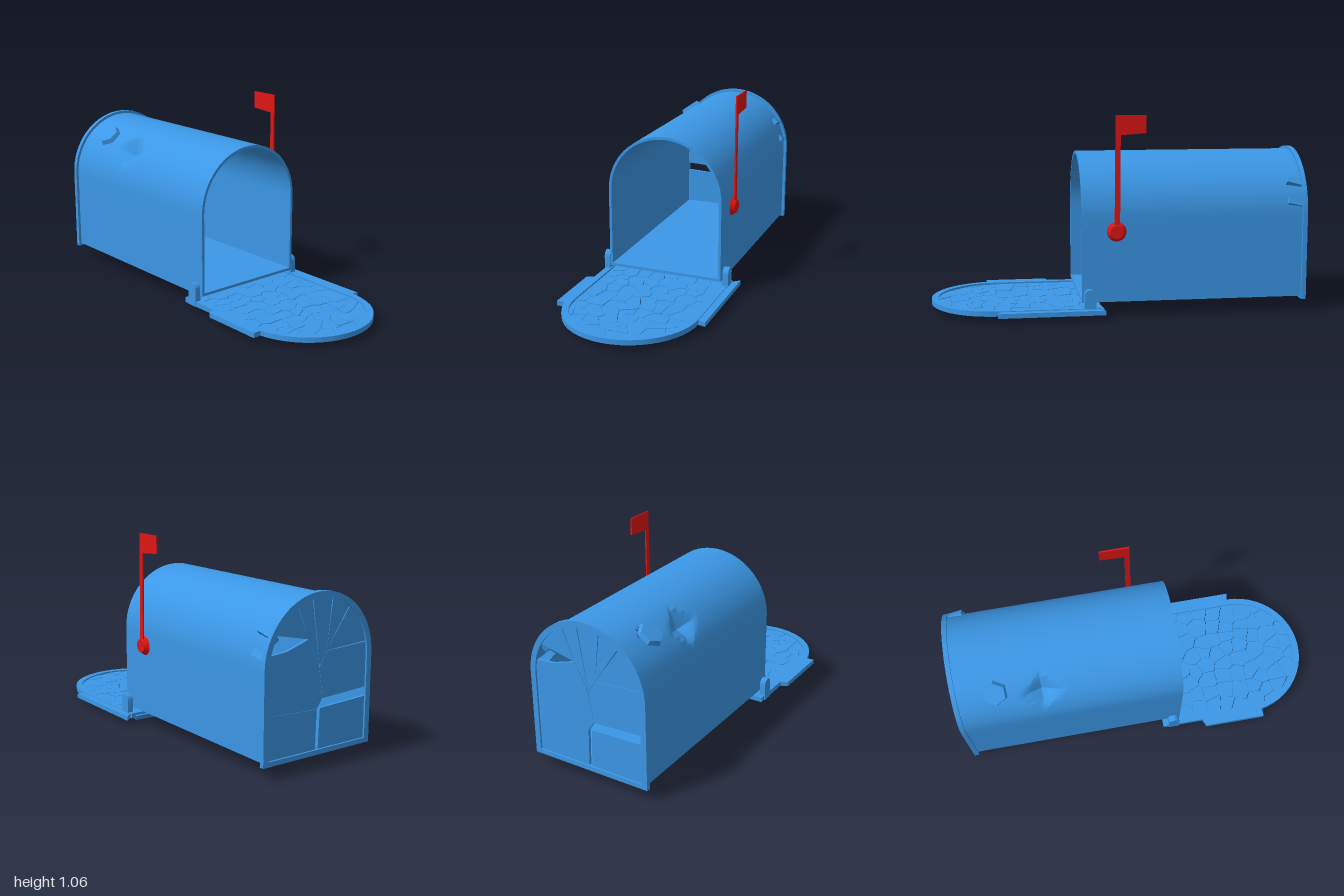
import * as THREE from 'three';
import { toCreasedNormals } from 'three/addons/utils/BufferGeometryUtils.js';
import { ConvexGeometry } from 'three/addons/geometries/ConvexGeometry.js';

const blue = new THREE.MeshStandardMaterial({ color: 0x3b97e6, side: THREE.DoubleSide });
const red = new THREE.MeshStandardMaterial({ color: 0xdd1515, side: THREE.DoubleSide });
const CY = 0.525; // height where the walls turn into the arch

const vec = (pts) => pts.map(([a, b]) => new THREE.Vector2(a, b));

// Arch outline in (z, y): straight walls with a semicircle on top
function archPoints(r, bottom, seg = 32) {
  const pts = [];
  for (let i = 0; i < 6; i++) pts.push([r, bottom + (CY - bottom) * i / 6]);
  for (let i = 0; i <= seg; i++) {
    const a = Math.PI * i / seg;
    pts.push([r * Math.cos(a), CY + r * Math.sin(a)]);
  }
  for (let i = 5; i >= 0; i--) pts.push([-r, bottom + (CY - bottom) * i / 6]);
  return pts;
}

function extrude(pts, hole, depth, steps = 1) {
  const shape = new THREE.Shape(vec(pts));
  if (hole) shape.holes.push(new THREE.Path(vec(hole)));
  return new THREE.ExtrudeGeometry(shape, { depth, steps, bevelEnabled: false });
}

// Outline in (z, y) running back from x = front
const upright = (pts, hole, front, depth, steps) =>
  extrude(pts, hole, depth, steps).rotateY(-Math.PI / 2).translate(front, 0, 0);

// Outline in (x, z) running down from y = top
const flat = (pts, hole, top, depth) =>
  extrude(pts, hole, depth).rotateX(Math.PI / 2).translate(0, top, 0);

// Keep the part of a convex polygon that is nearer to p than to q
function clipNearer(poly, p, q, gap) {
  const dx = q[0] - p[0], dy = q[1] - p[1], len = Math.hypot(dx, dy);
  const side = ([x, y]) =>
    ((x - (p[0] + q[0]) / 2) * dx + (y - (p[1] + q[1]) / 2) * dy) / len + gap;
  const out = [];
  poly.forEach((a, i) => {
    const b = poly[(i + 1) % poly.length], sa = side(a), sb = side(b);
    if (sa <= 0) out.push(a);
    if (sa * sb < 0) {
      const t = sa / (sa - sb);
      out.push([a[0] + (b[0] - a[0]) * t, a[1] + (b[1] - a[1]) * t]);
    }
  });
  return out;
}

export function createModel() {
  const model = new THREE.Group();
  const add = (name, geo, mat = blue, parent = model) => {
    const mesh = new THREE.Mesh(toCreasedNormals(geo, 0.5), mat);
    mesh.name = name;
    parent.add(mesh);
    return mesh;
  };
  const group = (name) => {
    const g = new THREE.Group();
    g.name = name;
    model.add(g);
    return g;
  };
  let seed = 7;
  const rand = () => (seed = (seed * 16807) % 2147483647) / 2147483647;

  // Arched body with floor, dented near the top
  let shell = upright(archPoints(0.325, 0.08), archPoints(0.31, 0.095), 0.21, 1.19, 48);
  if (shell.index) shell = shell.toNonIndexed();
  const pos = shell.attributes.position;
  for (let i = 0; i < pos.count; i++) {
    const x = pos.getX(i), y = pos.getY(i), z = pos.getZ(i);
    const a = Math.atan2(y - CY, z);
    const push = 0.06 * Math.max(0, 1 - Math.abs(x + 0.53) / 0.12 - Math.abs(a - 0.7) / 0.35);
    pos.setY(i, y - push * Math.sin(a));
    pos.setZ(i, z - push * Math.cos(a));
  }
  // Hole left by the loose shard
  const kept = [];
  for (let i = 0; i < pos.count; i += 3) {
    let x = 0, y = 0, z = 0;
    for (let k = i; k < i + 3; k++) {
      x += pos.getX(k) / 3; y += pos.getY(k) / 3; z += pos.getZ(k) / 3;
    }
    if (y > 0.6 && Math.hypot((x + 0.78) / 0.06, (z - 0.2) / 0.04) < 1) continue;
    for (let k = i; k < i + 3; k++) kept.push(pos.getX(k), pos.getY(k), pos.getZ(k));
  }
  const body = new THREE.BufferGeometry();
  body.setAttribute('position', new THREE.Float32BufferAttribute(kept, 3));
  body.computeVertexNormals();
  add('body', body);

  const shard = add('looseShard', new THREE.CylinderGeometry(0.06, 0.07, 0.025, 6));
  shard.position.set(-0.775, 0.775, 0.225);
  shard.rotation.x = 0.63;

  // Back rim and its broken panel
  add('backRim', upright(archPoints(0.34, 0.065), archPoints(0.31, 0.09), -0.975, 0.025));
  const back = group('backPanel');
  const arcPiece = (a0, a1, inner) => {
    const pts = [];
    for (let i = 0; i <= 6; i++) {
      const a = THREE.MathUtils.degToRad(a0 + (a1 - a0) * i / 6);
      pts.push([0.325 * Math.cos(a), CY + 0.325 * Math.sin(a)]);
    }
    return pts.concat(inner);
  };
  [
    [[0.325, 0.08], [0.325, 0.305], [0.015, 0.293], [0.007, 0.08]],
    [[-0.01, 0.08], [-0.005, 0.29], [-0.325, 0.305], [-0.325, 0.08]],
    [[0.325, 0.353], [0.325, 0.583], [0.05, 0.57], [0.005, 0.5], [0.03, 0.34]],
    [[-0.005, 0.291], [0.029, 0.34], [0.003, 0.5], [-0.07, 0.64], [-0.2, 0.6],
      [-0.325, 0.59], [-0.325, 0.306]],
    arcPiece(11, 52, [[0.05, 0.572]]),
    arcPiece(53, 75, [[0.05, 0.573]]),
    arcPiece(76, 98, [[0.005, 0.503], [0.05, 0.572]]),
    arcPiece(99, 115, [[-0.069, 0.641], [0.004, 0.504]]),
    arcPiece(116, 150, [[-0.07, 0.642]]),
  ].forEach((pts) => add('backPiece', upright(pts, null, -0.975, 0.015), blue, back));
  // Chips pushed out beside the gap in the panel
  [[0.58, -0.3], [0.68, -0.27]].forEach(([y, z], i) => {
    const chip = add('backChip', new THREE.BoxGeometry(0.09, 0.035, 0.06), blue, back);
    chip.position.set(-0.935, y, z);
    chip.rotation.set(0.5 + i * 0.3, 0.2, 0.15);
  });

  // Lowered door: raised rim around a shattered plate
  const door = group('door');
  const doorOutline = (r, rear) => {
    const pts = [[rear, -r]];
    for (let i = 0; i <= 24; i++) {
      const a = -Math.PI / 2 + Math.PI * i / 24;
      pts.push([0.64 + r * Math.cos(a), r * Math.sin(a)]);
    }
    return pts.concat([[rear, r]]);
  };
  add('doorRim', flat(doorOutline(0.36, 0.11), doorOutline(0.325, 0.14), 0.057, 0.027), blue, door);
  const plate = doorOutline(0.327, 0.135);
  const sites = [];
  for (let i = 0; i < 10; i++)
    for (let j = 0; j < 8; j++)
      sites.push([0.13 + (i + 0.1 + 0.8 * rand()) * 0.085, -0.33 + (j + 0.1 + 0.8 * rand()) * 0.083]);
  sites.forEach((p) => {
    let cell = plate;
    for (const q of sites) if (q !== p && cell.length) cell = clipNearer(cell, p, q, 0.0012);
    if (cell.length > 2) add('doorShard', flat(cell, null, 0.046 + rand() * 0.003, 0.014), blue, door);
  });

  // Side flanges and strip of the door
  add('rightFlange', flat([[0.09, -0.4], [0.65, -0.4], [0.64, -0.355], [0.13, -0.355]],
    null, 0.053, 0.025), blue, door);
  add('leftFlange', flat([[0.34, 0.355], [0.36, 0.4], [0.7, 0.4], [0.7, 0.35]],
    null, 0.057, 0.027), blue, door);

  // Broken chips hanging below the door
  const hull = (pts) => new ConvexGeometry(pts.map((p) => new THREE.Vector3(...p)));
  add('lowerChip', hull([[0.09, 0.045, -0.34], [0.13, 0.008, -0.32], [0.14, 0, -0.1],
    [0.2, 0.004, -0.3], [0.4, 0.03, -0.28], [0.36, 0.03, -0.07], [0.11, 0.035, -0.07]]), blue, door);
  add('lowerChip', hull([[0.11, 0.032, 0.36], [0.14, 0.02, 0.35], [0.48, 0.022, 0.34],
    [0.5, 0.032, 0.36], [0.4, 0.022, 0.22], [0.2, 0.02, 0.21], [0.13, 0.032, 0.2]]), blue, door);

  // Rounded hinge tabs on both sides
  for (const s of [1, -1]) {
    const tab = [[0.14, 0.03], [0.2, 0.03]];
    for (let i = 0; i <= 8; i++) {
      const a = Math.PI * i / 8;
      tab.push([0.17 + 0.03 * Math.cos(a), 0.125 + 0.03 * Math.sin(a)]);
    }
    add('hingeTab', extrude(tab, null, 0.033).translate(0, 0, s * 0.3485 - 0.0165), blue, door);
  }

  // Raised signal flag on the back side
  const flag = group('signalFlag');
  add('flagPole', extrude([[0.012, 0.45], [0.04, 0.45], [0.035, 1.06], [0.008, 1.06]],
    null, 0.008).translate(0, 0, -0.344), red, flag);
  add('flagPlate', extrude([[-0.125, 0.967], [0.015, 0.957], [0.015, 1.06], [-0.125, 1.06]],
    null, 0.008).translate(0, 0, -0.344), red, flag);
  const pivot = add('flagPivot',
    new THREE.CylinderGeometry(0.035, 0.052, 0.025, 20).rotateX(-Math.PI / 2), red, flag);
  pivot.position.set(0.027, 0.454, -0.338);

  return model;
}
